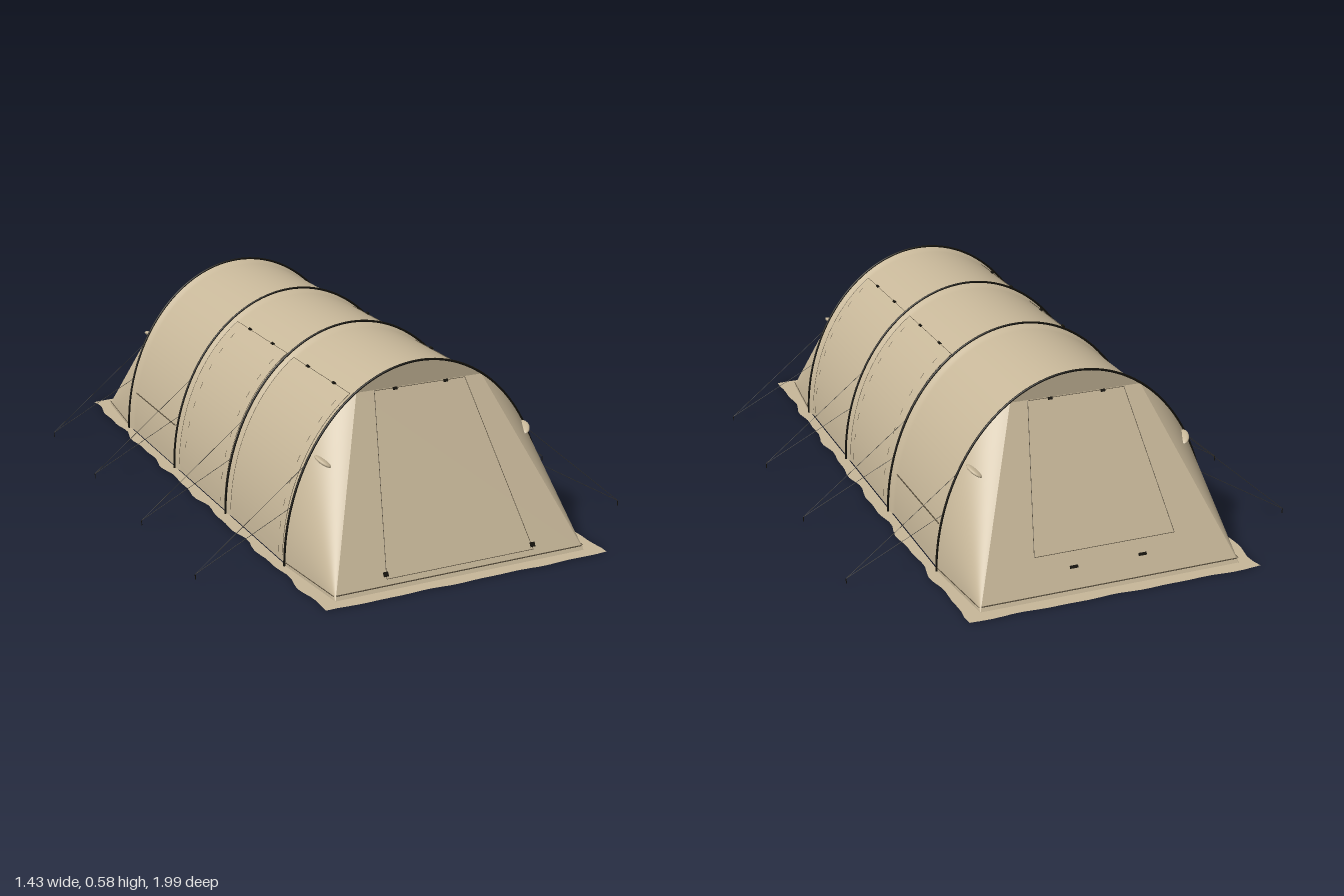
import * as THREE from 'three';
import { mergeGeometries } from 'three/addons/utils/BufferGeometryUtils.js';

const W = 0.441, H = 0.573;            // half width and height of the arch
const RIBS = [0.667, 0.222, -0.222, -0.667];
const END = 0.667, FOOT_Z = 0.951, FOOT_X = 0.415, PANEL_Y = 0.504;
const T = Math.asin(PANEL_Y / H);      // arch angle where the end panel meets the rib
const V = (x, y, z) => new THREE.Vector3(x, y, z);

export function createModel() {
  const tent = new THREE.Group();
  tent.name = 'tunnelTent';
  const material = (name, color, side = THREE.FrontSide) => {
    const m = new THREE.MeshStandardMaterial({ color, side });
    m.name = name;
    return m;
  };
  const fabric = material('sand fabric', 0xc7b799, THREE.DoubleSide);
  const black = material('black webbing', 0x14120b);
  const thread = material('brown seam', 0x5c5240);
  const cord = material('dark cord', 0x3c3931);

  const add = (name, geometry, mat) => {
    const mesh = new THREE.Mesh(geometry, mat);
    mesh.name = name;
    tent.add(mesh);
    return mesh;
  };

  // Smooth sheet from a rule f(u, v)
  const sheet = (f, nu, nv) => {
    const pos = [], idx = [];
    for (let j = 0; j <= nv; j++)
      for (let i = 0; i <= nu; i++) pos.push(...f(i / nu, j / nv).toArray());
    for (let j = 0; j < nv; j++)
      for (let i = 0; i < nu; i++) {
        const a = j * (nu + 1) + i, b = a + nu + 1;
        idx.push(a, a + 1, b, b, a + 1, b + 1);
      }
    const g = new THREE.BufferGeometry();
    g.setAttribute('position', new THREE.Float32BufferAttribute(pos, 3));
    g.setIndex(idx);
    g.computeVertexNormals();
    return g;
  };

  // Thin round line along a list of points
  const line = (pts, r) => mergeGeometries(pts.slice(1).map((p, i) =>
    new THREE.TubeGeometry(new THREE.LineCurve3(pts[i], p), 1, r, 5)));

  const arch = (t, z, off = 0) => V((W + off) * Math.cos(t), (H + off) * Math.sin(t), z);
  // Fabric dips slightly between the ribs
  const shell = (t, z, off = 0) => {
    const d = Math.min(...RIBS.map(r => Math.abs(z - r)));
    const s = Math.min(d / 0.025, 1);
    return arch(t, z, off - 0.001 - 0.008 * s * s * (3 - 2 * s));
  };

  // Tunnel and its ribs
  add('tunnelCanopy', sheet((u, v) => shell(u * Math.PI, END * (1 - 2 * v)), 64, 144), fabric);
  for (const z of RIBS) {
    const pts = Array.from({ length: 49 }, (_, i) => arch(i / 48 * Math.PI, z, 0.0021));
    add('archRib', new THREE.TubeGeometry(new THREE.CatmullRomCurve3(pts), 96, 0.0036, 8), black);
  }

  // Sloping ends
  const slopeZ = y => FOOT_Z - (FOOT_Z - END) * y / PANEL_Y;
  for (const s of [1, -1]) {
    const end = s > 0 ? 'front' : 'rear';
    const onPanel = (x, y, off = 0.0007) => V(x, y + off * 0.48, s * (slopeZ(y) + off * 0.87));
    add(end + 'Panel', sheet((u, v) => {
      const w = THREE.MathUtils.lerp(FOOT_X, W * Math.cos(T), v);
      return onPanel((2 * u - 1) * w, v * PANEL_Y, 0);
    }, 1, 1), fabric);
    add(end + 'Brow', sheet((u, v) => {
      const p = arch(T + u * (Math.PI - 2 * T), s * END);
      p.y = THREE.MathUtils.lerp(PANEL_Y, p.y, v);
      return p;
    }, 24, 1), fabric);

    for (const m of [1, -1]) {
      // Curved cheek fanning from the corner to the rib
      add(end + 'Cheek', sheet((u, v) => {
        const p = arch(u * T, END).lerp(V(FOOT_X, 0, FOOT_Z), v);
        return V(p.x * m, p.y, p.z * s);
      }, 32, 6), fabric);
      add(end + 'CheekHem', line([V(m * (W + 0.001), 0.014, s * END),
        V(m * (FOOT_X + 0.001), 0.014, s * (FOOT_Z - 0.008))], 0.0014), thread);

      // Vent hood lying on the cheek
      const hood = add(end + 'VentHood', new THREE.SphereGeometry(1, 16, 10), fabric);
      hood.scale.set(0.019, 0.008, 0.034);
      hood.position.set(m * 0.338, 0.327, s * 0.71);
      hood.rotation.set(s * 0.3, -s * m * 0.3, m * 0.45);
    }
    add(end + 'Hem', line([onPanel(-FOOT_X + 0.006, 0.014), onPanel(FOOT_X - 0.006, 0.014)], 0.0018), thread);

    // Door outline and buckles
    const [bx, by, tx] = s > 0 ? [0.245, 0.03, 0.152] : [0.225, 0.11, 0.155];
    const c = [onPanel(-tx, 0.502), onPanel(-bx, by), onPanel(bx, by), onPanel(tx, 0.502)];
    add(end + 'DoorSeam', line([...c, c[0]], 0.0009), thread);
    const spots = s > 0 ? [[0.085, 0.5, 0.013, 0.008], [0.245, 0.042, 0.014, 0.014]]
      : [[0.085, 0.5, 0.013, 0.008], [0.11, 0.07, 0.024, 0.009]];
    for (const [x, y, w, h] of spots)
      for (const m of [1, -1]) {
        const b = add(end + 'Buckle', new THREE.BoxGeometry(w, h, 0.006), black);
        b.position.copy(onPanel(m * x, y, 0.003));
        b.rotation.x = -s * 0.5;
      }
  }

  // Side doors, pockets and guy lines, mirrored
  for (const m of [1, -1]) {
    const at = (t, z, off) => {
      const p = shell(t, z, off);
      return V(p.x * m, p.y, p.z);
    };
    const low = 0.04, high = 1.055;
    const rise = z => Array.from({ length: 25 }, (_, i) =>
      at(low + (high - low) * i / 24, z, 0.0028));
    for (const [z0, z1, folds] of [[0.245, 0.635, [0.605]], [-0.197, 0.195, [-0.15, 0.16]]]) {
      add('sideDoor', sheet((u, v) => at(low + (high - low) * u, z0 + (z1 - z0) * v, 0.0025), 24, 16), fabric);
      add('sideDoorSeam', line([...rise(z0), ...rise(z1).reverse()], 0.0007), thread);
      // Dashed stitching
      for (const z of folds) {
        const r = rise(z);
        for (let i = 0; i < 24; i += 3)
          add('sideDoorStitch', line([r[i], r[i + 1]], 0.0007), thread);
      }
      const mid = (z0 + z1) / 2;
      for (const z of [mid - 0.09, mid + 0.09]) {
        const b = add('sideBuckle', new THREE.BoxGeometry(0.008, 0.008, 0.012), black);
        b.position.copy(at(high, z, 0.004));
        b.rotation.z = m * 0.75;
      }
    }
    const tp = Math.asin(0.14 / H);
    add('pocketSeam', line([at(tp, -0.255, 0.0022), at(tp, -0.635, 0.0022)], 0.002), thread);

    for (const z of RIBS) {
      const peg = V(m * 0.712, 0.016, z + m * 0.03);
      for (const y of [0.31, 0.185])
        add('guyLine', line([V(m * W * Math.sqrt(1 - (y / H) ** 2), y, z), peg], 0.0008), cord);
      add('tentPeg', line([peg, V(peg.x, 0, peg.z)], 0.0016), black);
    }
  }

  // Wavy ground skirt around the footprint
  const wave = a => 0.005 * Math.sin(a * 23) + 0.004 * Math.sin(a * 41 + 1);
  const outer = [], N = 60, M = 28;
  const ox = (z, k) => k * (0.474 - 0.01 * z * z + wave(z + k));
  const oz = (x, k) => k * (0.994 + 0.4 * wave(x + k));
  for (let i = 0; i < N; i++) outer.push([ox(-0.99 + 1.98 * i / N, 1), -0.99 + 1.98 * i / N]);
  for (let i = 0; i < M; i++) outer.push([0.465 - 0.93 * i / M, oz(0.465 - 0.93 * i / M, 1)]);
  for (let i = 0; i < N; i++) outer.push([ox(0.99 - 1.98 * i / N, -1), 0.99 - 1.98 * i / N]);
  for (let i = 0; i < M; i++) outer.push([-0.465 + 0.93 * i / M, oz(-0.465 + 0.93 * i / M, -1)]);
  const skirt = new THREE.Shape(outer.map(p => new THREE.Vector2(...p)));
  const inner = [[1, 1], [-1, 1], [-1, -1], [1, -1]].flatMap(([a, b]) => {
    const pair = [new THREE.Vector2(a * (W - 0.004), b * END), new THREE.Vector2(a * (FOOT_X - 0.004), b * (FOOT_Z - 0.004))];
    return a * b > 0 ? pair : pair.reverse();
  });
  skirt.holes.push(new THREE.Path(inner));
  const ground = add('groundSkirt', new THREE.ShapeGeometry(skirt), fabric);
  ground.rotation.x = -Math.PI / 2;
  ground.position.y = 0.002;

  return tent;
}
